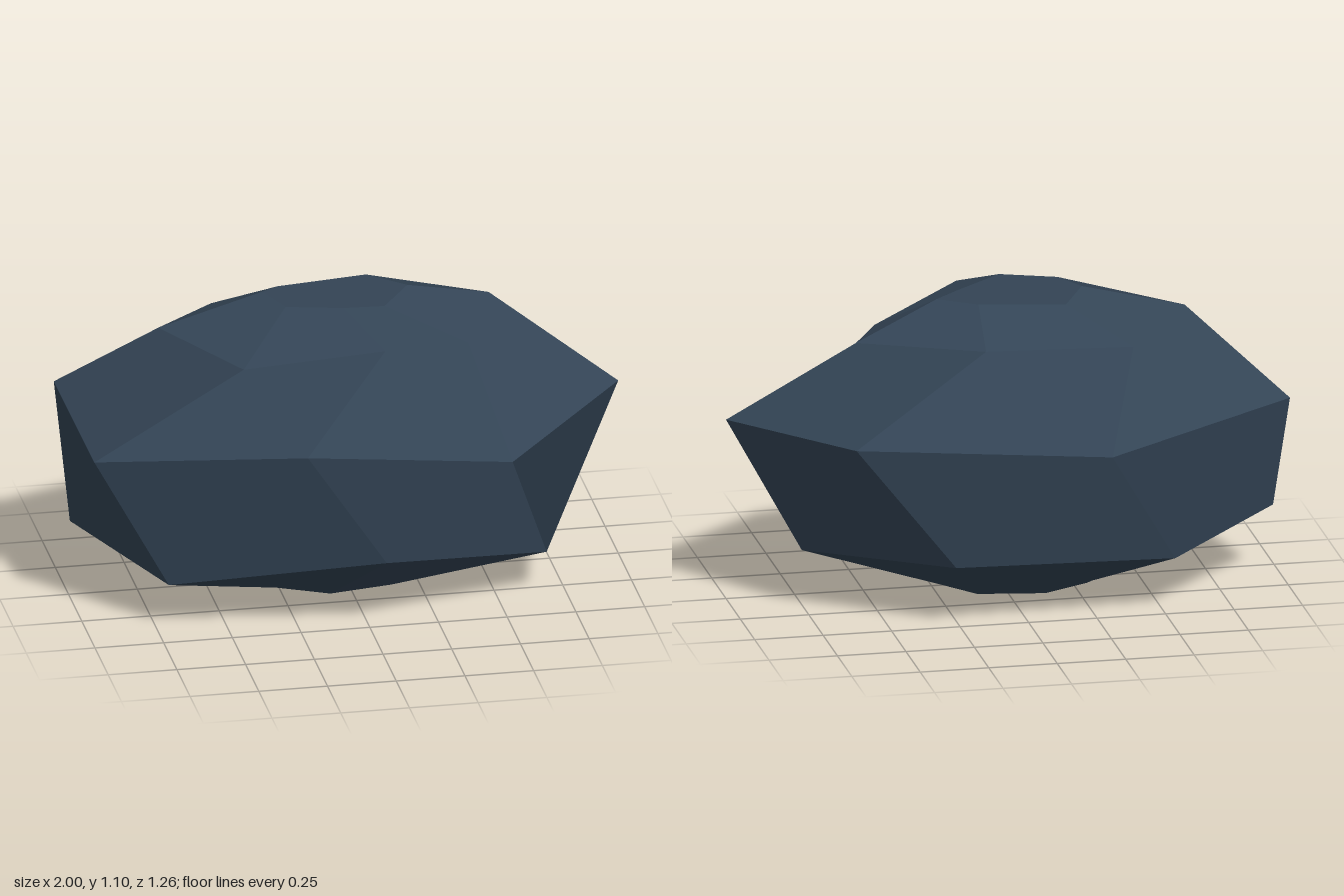
import * as THREE from 'three';

// Seven-cornered cross-sections from base to crown; corners run from +x toward +z
const RINGS = [
  [[0.21, 0, 0], [0.15, 0, 0.13], [-0.08, 0, 0.17], [-0.26, 0, 0.08], [-0.3, 0, -0.08], [-0.13, 0, -0.17], [0.11, 0, -0.13]],
  [[0.76, 0.22, -0.175], [0.68, 0.16, 0.31], [0.05, 0.27, 0.56], [-0.71, 0.175, 0.39], [-0.98, 0.25, -0.08], [-0.54, 0.2, -0.48], [0.27, 0.23, -0.53]],
  [[1, 0.67, 0], [0.52, 0.6, 0.5], [-0.25, 0.73, 0.63], [-0.96, 0.625, 0.28], [-1, 0.71, -0.28], [-0.28, 0.64, -0.63], [0.63, 0.685, -0.51]],
  [[0.56, 0.98, -0.165], [0.42, 0.935, 0.175], [0.08, 1.015, 0.38], [-0.42, 0.95, 0.3], [-0.67, 1.0, -0.02], [-0.42, 0.95, -0.32], [0.13, 0.985, -0.38]],
  [[0.24, 1.085, -0.04], [0.13, 1.07, 0.1], [-0.03, 1.1, 0.16], [-0.23, 1.095, 0.1], [-0.29, 1.1, -0.04], [-0.21, 1.07, -0.15], [0.11, 1.09, -0.15]],
].map(ring => ring.map(p => new THREE.Vector3(...p)));

export function createModel() {
  const points = [], normals = [];
  function tri(a, b, c, normal) {
    for (const p of [a, b, c]) {
      points.push(p.x, p.y, p.z);
      normals.push(normal.x, normal.y, normal.z);
    }
  }

  // Four-cornered, evenly shaded facet, always split along a-c
  function facet(a, b, c, d) {
    const normal = c.clone().sub(a).cross(d.clone().sub(b)).normalize();
    tri(a, b, c, normal);
    tri(a, c, d, normal);
  }

  // Side facets between neighbouring cross-sections
  const n = RINGS[0].length;
  for (let r = 0; r < RINGS.length - 1; r++) {
    for (let i = 0; i < n; i++) {
      const j = (i + 1) % n;
      facet(RINGS[r][j], RINGS[r][i], RINGS[r + 1][i], RINGS[r + 1][j]);
    }
  }

  // Base and crown, fanned from their centres
  const centre = ring => ring.reduce((s, p) => s.add(p), new THREE.Vector3()).divideScalar(n);
  const base = RINGS[0], crown = RINGS[RINGS.length - 1];
  const baseMid = centre(base), crownMid = centre(crown);
  const up = new THREE.Vector3(0, 1, 0), down = new THREE.Vector3(0, -1, 0);
  for (let i = 0; i < n; i++) {
    const j = (i + 1) % n;
    tri(baseMid, base[i], base[j], down);
    tri(crownMid, crown[j], crown[i], up);
  }

  const geometry = new THREE.BufferGeometry();
  geometry.setAttribute('position', new THREE.Float32BufferAttribute(points, 3));
  geometry.setAttribute('normal', new THREE.Float32BufferAttribute(normals, 3));

  const stone = new THREE.MeshStandardMaterial({ color: 0x334455 });
  stone.name = 'slate blue stone';
  const boulder = new THREE.Mesh(geometry, stone);
  boulder.name = 'boulder';

  const group = new THREE.Group();
  group.name = 'rock';
  group.add(boulder);
  return group;
}
